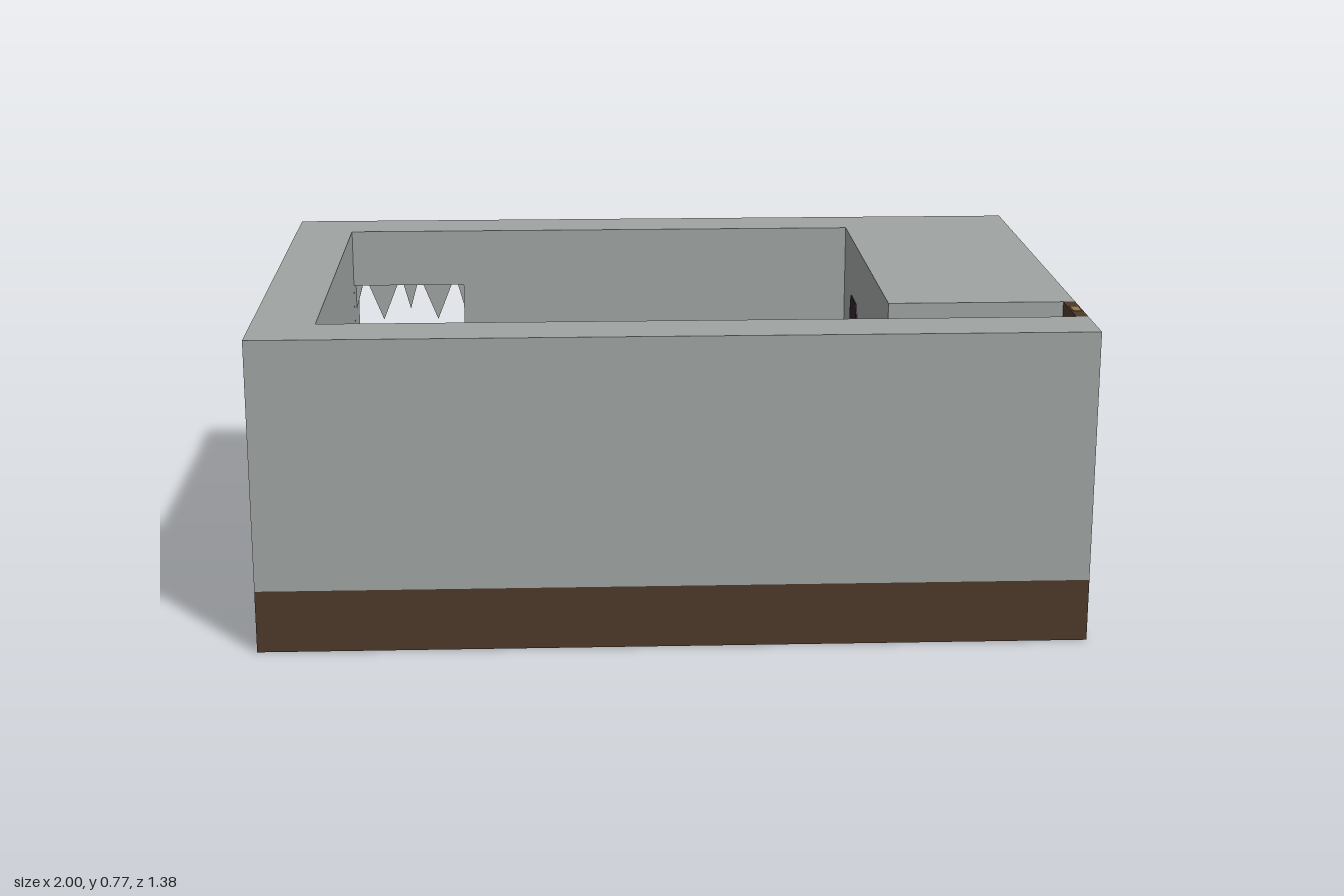
import * as THREE from 'three';

const U = 2 / 13; // one block; the room is 13 x 5 x 9 blocks
const T = 0.05; // thin panel, in blocks

export function createModel() {
  const root = new THREE.Group();
  root.name = 'walledRoom';

  const mat = (name, color) => {
    const m = new THREE.MeshStandardMaterial({ color, side: THREE.DoubleSide });
    m.name = name;
    return m;
  };
  const stone = mat('stone grey', 0x9fa4a3);
  const earth = mat('earth brown', 0x4e392b);
  const wood = mat('wood tan', 0x90784b);
  const blue = mat('carpet blue', 0x3a398c);
  const purple = mat('dark purple', 0x30252f);
  const iron = mat('iron dark', 0x2c2627);

  // Box between two corners given in block coordinates
  const box = (name, material, x0, x1, y0, y1, z0, z1) => {
    const mesh = new THREE.Mesh(
      new THREE.BoxGeometry((x1 - x0) * U, (y1 - y0) * U, (z1 - z0) * U), material);
    mesh.position.set(((x0 + x1) / 2 - 6.5) * U, ((y0 + y1) / 2) * U, ((z0 + z1) / 2 - 4.5) * U);
    mesh.name = name;
    root.add(mesh);
    return mesh;
  };

  // Extruded plate drawn in the x-y plane, in block units
  const plate = (name, material, shape, depth, x, y, z) => {
    const mesh = new THREE.Mesh(
      new THREE.ExtrudeGeometry(shape, { depth, bevelEnabled: false }), material);
    mesh.scale.setScalar(U);
    mesh.position.set((x - 6.5) * U, y * U, (z - 4.5) * U);
    mesh.name = name;
    root.add(mesh);
    return mesh;
  };
  const poly = (pts) => new THREE.Shape(pts.map(([x, y]) => new THREE.Vector2(x, y)));

  // Foundation course
  box('frontFoundation', earth, 0, 13, 0, 1, 8, 9);
  box('rightFoundation', earth, 0, 1, 0, 1, 1, 8);
  box('backFoundation', earth, 1, 10, 0, 1, 0, 1);
  box('leftFoundation', earth, 13 - T, 13, 0, 1, 1, 8);
  box('corridorFoundation', earth, 10, 13 - T, 0, 1, 7, 8);
  box('sideRoomFoundation', earth, 10, 12, 0, 1, 4, 7);
  box('underfloorBack', earth, 1, 10, 0, 1, 1, 2);
  box('underfloorMiddle', stone, 1, 10, 0, 1, 2, 5);
  box('underfloorFront', earth, 1, 10, 0, 1, 6, 8);
  box('underfloorPatch', stone, 1, 7.2, -0.01, 0, 6.3, 7);

  // Plank floor
  box('floor', wood, 1, 10, 1, 2, 1, 8);
  box('corridorFloor', wood, 10, 12.8, 1, 2, 7, 8);
  box('sideRoomFloor', wood, 10, 12, 1, 2, 4, 7);

  // Outer walls
  box('frontWall', stone, 0, 13, 1, 5, 8, 9);
  box('rightWall', stone, 0, 1, 1, 5, 1, 8);
  box('backCornerWall', stone, 0, 1, 2, 5, 0, 1);
  const back = poly([[1, 1], [10, 1], [10, 5], [1, 5]]);
  back.holes.push(new THREE.Path([[1, 3], [1, 4], [3, 4], [3, 3]]
    .map(([x, y]) => new THREE.Vector2(x + 0.001, y))));
  plate('backWall', stone, back, 1, 0, 0, 0);

  // Open recess at the back corner
  box('recessSideUpper', stone, 0, T, 1, 2, 0, 1);
  box('recessSideLower', purple, 0, T, 0, 1, 0, 1);
  box('recessInnerSide', purple, 1 - T, 1, 0, 1, 0, 1);

  // Jagged bars inside the window
  for (let i = 0; i < 2; i++) {
    plate('windowBar', stone, poly([[0.2, 1], [0.8, 1], [0.5, 0.25]]), T, 1 + i, 3, 0.5);
    plate('windowBarEdge', stone, poly([[0, 1], [0.15, 1], [0, 0.45]]), T, 1 + i, 3, 0.5);
    plate('windowBarEdge', stone, poly([[0.85, 1], [1, 1], [1, 0.45]]), T, 1 + i, 3, 0.5);
  }

  // Hollow side room
  box('sideRoomRoof', stone, 10, 13, 5 - T, 5, 0, 7);
  box('sideRoomOuterWall', stone, 13 - T, 13, 1, 5, 0, 7);
  box('sideRoomInnerWall', stone, 10, 10 + T, 2, 5, 0, 7);
  box('sideRoomBackWall', stone, 10, 13, 2, 5, 0, T);
  box('corridorWall', stone, 10, 13, 2, 5, 7 - T, 7);

  // Dark wall plaques with cut corners
  const plaque = poly([[-0.35, -0.5], [0.35, -0.5], [0.45, -0.35], [0.45, 0.35],
    [0.35, 0.5], [-0.35, 0.5], [-0.45, 0.35], [-0.45, -0.35]]);
  for (const z of [2.5, 5.5]) {
    plate('wallPlaque', purple, plaque, 0.06, 9.98, 3.5, z).rotation.y = Math.PI / 2;
    plate('wallPlaqueInner', purple, plaque, 0.04, 10.03, 3.5, z).rotation.y = Math.PI / 2;
  }

  // Door at the end of the corridor
  box('doorSill', earth, 12.8, 13, 1, 2, 7, 8);
  box('door', earth, 12.81, 13, 2, 5, 7, 8);
  box('doorTopInlay', wood, 12.84, 12.97, 5, 5.01, 7.35, 7.65);

  // T-shaped carpet
  box('carpetRunner', blue, 1, 3, 2, 2.06, 2, 7);
  box('carpetBand', blue, 3, 4, 2, 2.06, 1, 8);

  // Corner block
  box('cornerBlock', stone, 2, 3, 2, 3, 7, 8);

  // Table with patterned top and a lantern
  box('table', earth, 1, 2, 2, 3, 4, 5);
  const diamond = poly([[-0.5, -0.2], [-0.2, -0.2], [-0.25, -0.45], [0.25, -0.45], [0.2, -0.2],
    [0.5, -0.2], [0.5, 0.2], [0.2, 0.2], [0.25, 0.45], [-0.25, 0.45], [-0.2, 0.2], [-0.5, 0.2]]);
  plate('tableTopInlay', wood, diamond, 0.02, 1.5, 3, 4.5).rotation.x = -Math.PI / 2;
  box('lanternBody', wood, 1.31, 1.69, 3.02, 3.44, 4.31, 4.69);
  box('lanternCap', iron, 1.29, 1.71, 3.44, 3.52, 4.29, 4.71);
  box('lanternKnob', iron, 1.4, 1.6, 3.52, 3.72, 4.4, 4.6);

  return root;
}
